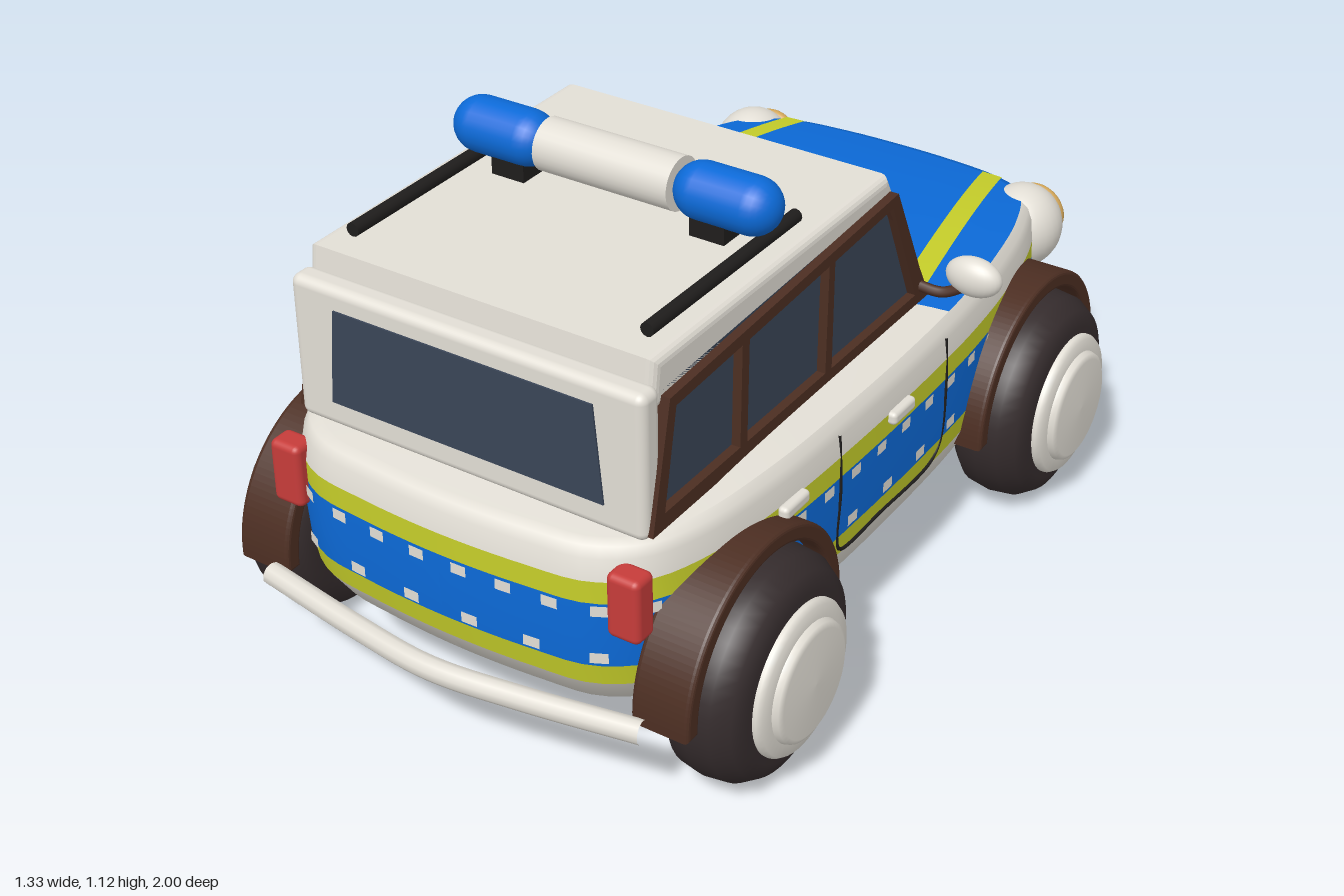
import * as THREE from 'three';
import { mergeGeometries } from 'three/addons/utils/BufferGeometryUtils.js';
import { RoundedBoxGeometry } from 'three/addons/geometries/RoundedBoxGeometry.js';

const mat = (name, color, side = THREE.FrontSide) => {
  const m = new THREE.MeshStandardMaterial({ color, side });
  m.name = name;
  return m;
};

export function createModel() {
  const white = mat('white paint', 0xe2ded5), blue = mat('blue paint', 0x0c6ad8);
  const yellow = mat('yellow paint', 0xc6ce2a), brown = mat('brown trim', 0x4c2e22);
  const glass = mat('dark glass', 0x3a4557), rubber = mat('tyre rubber', 0x352c2d);
  const black = mat('black plastic', 0x1f1d1c), red = mat('red lamp', 0xc63c3a);
  const gold = mat('amber lamp', 0xd0a458);

  const car = new THREE.Group();
  car.name = 'patrolCar';
  const add = (name, geo, material, x = 0, y = 0, z = 0) => {
    const m = new THREE.Mesh(geo, material);
    m.name = name;
    m.position.set(x, y, z);
    car.add(m);
    return m;
  };
  const v = (x, y, z) => new THREE.Vector3(x, y, z);
  const tube = (pts, r, seg = 32) => new THREE.TubeGeometry(new THREE.CatmullRomCurve3(pts), seg, r, 10);
  const ball = (rx, ry, rz) => new THREE.SphereGeometry(1, 28, 20).scale(rx, ry, rz);
  const poly = (pts) => new THREE.Shape(pts.map(([a, b]) => new THREE.Vector2(a, b)));
  // Side profile given as (z, y), extruded across x
  const sidePoly = (pts) => poly(pts.map(([z, y]) => [-z, y]));
  const sideExtrude = (shape, x0, x1, bevel = 0) => new THREE.ExtrudeGeometry(shape, {
    depth: x1 - x0 - 2 * bevel, bevelEnabled: bevel > 0, bevelSize: bevel, bevelThickness: bevel, bevelSegments: 4,
  }).rotateY(Math.PI / 2).translate(x0 + bevel, 0, 0);

  // Body: plan outline scaled level by level
  const half = [[0.2, 0.915], [0.33, 0.895], [0.42, 0.83], [0.47, 0.72], [0.505, 0.5], [0.518, 0.2], [0.518, -0.1],
    [0.51, -0.3], [0.488, -0.5], [0.445, -0.7], [0.385, -0.83], [0.29, -0.88], [0.15, -0.9]];
  const outline = new THREE.CatmullRomCurve3([v(0, 0, 0.925), ...half.map(([x, z]) => v(x, 0, z)), v(0, 0, -0.905),
    ...half.slice().reverse().map(([x, z]) => v(-x, 0, z))], true);
  outline.arcLengthDivisions = 800;
  const N = 144, ring = outline.getSpacedPoints(N).slice(0, N);
  const dome = (x, z) => 0.64 - 0.03 * (x / 0.5) ** 4 - 0.045 * (z / 0.9) ** 4;
  const loft = (rows, c0 = 0, c1 = N) => {
    const pos = [], idx = [], w = c1 - c0 + 1;
    rows.forEach(([s, y], r) => {
      for (let c = c0; c <= c1; c++) {
        const p = ring[c % N], x = p.x * s, z = p.z * s;
        pos.push(x, y ?? dome(x, z), z);
        if (r && c < c1) {
          const b = r * w + c - c0, a = b - w;
          idx.push(a, a + 1, b, a + 1, b + 1, b);
        }
      }
    });
    const g = new THREE.BufferGeometry();
    g.setAttribute('position', new THREE.Float32BufferAttribute(pos, 3));
    g.setIndex(idx);
    g.computeVertexNormals();
    return g;
  };
  const columns = (limit) => {
    const c = ring.findIndex((p) => p.z < limit);
    return [c, N - c];
  };
  const [h0, h1] = columns(-0.2), [n0, n1] = columns(-0.85);
  add('floor', loft([[0, 0.18], [0.8, 0.18], [0.86, 0.2]]), black);
  add('sill', loft([[0.86, 0.2], [0.94, 0.215], [0.985, 0.28]]), white);
  add('lowerStripe', loft([[0.985, 0.28], [0.995, 0.33]]), yellow);
  add('blueBand', loft([[0.995, 0.33], [1, 0.4], [1, 0.48]]), blue);
  add('upperStripe', loft([[1, 0.48], [1, 0.53]]), yellow);
  const shoulder = [[1, 0.53], [0.99, 0.575], [0.975, 0.595], [0.95]];
  add('shoulder', loft(shoulder, n1, n0 + N), white);
  add('nose', loft(shoulder, n0, n1), blue);
  const top = [0.95, 0.88, 0.8, 0.65, 0.45, 0.2, 0].map((s) => [s]);
  add('hood', loft(top, h0, h1), blue);
  add('rearDeck', loft(top, h1, h0 + N), white);

  // Checker squares wrapped along the blue band
  const checks = [];
  const check = (u, y, w) => {
    const a = outline.getPointAt(u - w), b = outline.getPointAt(u + w), k = 1.006;
    const g = new THREE.PlaneGeometry(1, 1), p = g.attributes.position;
    [a, b, a, b].forEach((q, i) => p.setXYZ(i, q.x * k, y + (i < 2 ? 0.012 : -0.012), q.z * k));
    g.computeVertexNormals();
    checks.push(g);
  };
  for (let i = 0; i < 50; i++) check((i + 0.5) / 50, 0.466, 0.0034);
  for (let i = 0; i < 36; i++) check((i + 0.5) / 36, 0.356, 0.0036);
  add('checkerSquares', mergeGeometries(checks), white);

  // Cabin: glass core, roof, rear panel, windscreen frame
  add('cabinGlass', sideExtrude(sidePoly([[0.79, 0.6], [0.75, 0.9], [-0.06, 0.93], [-0.215, 0.6]].reverse()), -0.405, 0.405), glass);
  add('roof', sideExtrude(sidePoly([[0.765, 0.88], [0.755, 0.95], [-0.07, 0.953], [-0.085, 0.93]].reverse()), -0.405, 0.405, 0.02), white);
  add('rearPanel', new RoundedBoxGeometry(0.83, 0.32, 0.06, 4, 0.02), white, 0, 0.762, 0.797);
  add('rearWindow', new THREE.ExtrudeGeometry(poly([[-0.325, 0.662], [0.325, 0.662], [0.305, 0.875], [-0.305, 0.875]]),
    { depth: 0.006, bevelEnabled: false }), glass, 0, 0, 0.825);
  const screen = poly([[-0.425, 0], [0.425, 0], [0.415, 0.353], [-0.415, 0.353]]);
  screen.holes.push(poly([[-0.39, 0.035], [-0.375, 0.322], [0.375, 0.322], [0.39, 0.035]]));
  add('windscreenFrame', new THREE.ExtrudeGeometry(screen, { depth: 0.03, bevelEnabled: false })
    .rotateX(Math.atan2(0.16, 0.315)), brown, 0, 0.617, -0.245);

  // Light bar
  const capsule = (len) => new THREE.CapsuleGeometry(0.06, len - 0.12, 8, 24).rotateZ(Math.PI / 2);
  add('lightBarCentre', new THREE.CylinderGeometry(0.057, 0.057, 0.32, 28).rotateZ(Math.PI / 2), white, 0, 1.058, 0.315);

  // Rear bumper, front bumper, bull bar
  add('rearBumper', tube([v(-0.46, 0.24, 0.91), v(-0.2, 0.235, 0.95), v(0, 0.235, 0.972), v(0.2, 0.235, 0.95), v(0.46, 0.24, 0.91)], 0.025), white);
  add('frontBumper', new RoundedBoxGeometry(1.01, 0.1, 0.1, 4, 0.04), white, 0, 0.25, -0.88);
  add('bumperInsert', new RoundedBoxGeometry(0.52, 0.08, 0.04, 3, 0.012), rubber, 0, 0.265, -0.925);
  add('bullBar', tube([v(-0.33, 0.215, -0.945), v(-0.3, 0.31, -0.965), v(-0.26, 0.335, -0.973), v(0, 0.335, -0.975),
    v(0.26, 0.335, -0.973), v(0.3, 0.31, -0.965), v(0.33, 0.215, -0.945)], 0.025, 60), brown);

  // Grille
  const oval = (rx, ry) => new THREE.CylinderGeometry(1, 1, 0.02, 40).rotateX(Math.PI / 2).scale(rx, ry, 1);
  add('grilleFrame', new THREE.TorusGeometry(1, 0.09, 10, 48).scale(0.235, 0.08, 0.2), white, 0, 0.455, -0.907);
  add('grilleBack', oval(0.23, 0.075), black, 0, 0.455, -0.905);
  for (let i = -2; i <= 2; i++) {
    const w = 0.43 * Math.sqrt(1 - (i * 0.026 / 0.075) ** 2);
    add('grilleSlat', new THREE.BoxGeometry(w, 0.009, 0.02), white, 0, 0.455 + i * 0.024, -0.917);
  }

  // Wheel profiles, spun around the axle
  const lathe = (pts) => new THREE.LatheGeometry(pts.map(([r, h]) => new THREE.Vector2(r, h)), 48);
  const tyre = [[0, -0.085], [0.17, -0.088], [0.21, -0.08], [0.236, -0.055], [0.244, -0.01], [0.238, 0.04], [0.215, 0.076], [0.18, 0.092], [0, 0.092]];
  const hub = [[0.165, 0.07], [0.165, 0.1], [0.158, 0.111], [0.13, 0.114], [0.13, 0.114], [0.126, 0.126], [0.115, 0.132], [0, 0.136]];
  const arch = new THREE.Shape();
  arch.absarc(0, 0, 0.275, -0.02, Math.PI + 0.02, false);
  arch.absarc(0, 0, 0.252, Math.PI + 0.02, -0.02, true);

  // Side window frame
  const frame = sidePoly([[0.815, 0.615], [0.755, 0.89], [-0.085, 0.935], [-0.24, 0.615]].reverse());
  [[[0.775, 0.65], [0.735, 0.865], [0.51, 0.877], [0.515, 0.65]], [[0.49, 0.65], [0.485, 0.878], [0.19, 0.895], [0.195, 0.65]],
    [[0.17, 0.65], [0.168, 0.896], [-0.065, 0.91], [-0.18, 0.65]]].forEach((w) => frame.holes.push(sidePoly(w)));

  const sideX = (z) => ring.slice(0, N / 2).reduce((a, p) => (Math.abs(p.z - z) < Math.abs(a.z - z) ? p : a)).x;
  for (const s of [1, -1]) {
    const side = s > 0 ? 'left' : 'right';
    add(side + 'WindowFrame', sideExtrude(frame, s > 0 ? 0.395 : -0.425, s > 0 ? 0.425 : -0.395), brown);
    for (const z of [0.615, -0.56]) {
      add(side + 'Tyre', lathe(tyre).rotateZ(-s * Math.PI / 2), rubber, s * 0.53, 0.245, z);
      add(side + 'Hubcap', lathe(hub).rotateZ(-s * Math.PI / 2), white, s * 0.53, 0.245, z);
      add(side + 'WheelArch', new THREE.ExtrudeGeometry(arch, {
        depth: 0.11, bevelSize: 0.008, bevelThickness: 0.01, bevelSegments: 3, curveSegments: 32,
      }).rotateY(Math.PI / 2), brown, s * 0.49 - 0.055, 0.255, z);
    }
    // Door seam and handles
    const seam = [[0.28, 0.58], [0.28, 0.45], [0.28, 0.32], [0.265, 0.292], [0.1, 0.29], [-0.12, 0.29], [-0.16, 0.32], [-0.165, 0.45], [-0.165, 0.58]];
    add(side + 'DoorSeam', tube(seam.map(([z, y]) => v(s * sideX(z) * (y < 0.4 ? 0.99 : y > 0.55 ? 0.988 : 1), y, z)), 0.004, 80), black);
    for (const z of [0.46, 0.05]) add(side + 'DoorHandle', new RoundedBoxGeometry(0.025, 0.03, 0.09, 3, 0.01), white, s * (sideX(z) + 0.005), 0.52, z);

    // Hood stripe draped over the hood
    const stripe = new THREE.PlaneGeometry(0.05, 1, 2, 16), p = stripe.attributes.position;
    for (let i = 0; i < p.count; i++) {
      const t = p.getY(i) + 0.5, z = -0.2 - 0.64 * t, x = s * (0.395 - 0.125 * t) + p.getX(i);
      p.setXYZ(i, x, dome(x, z) + 0.005, z);
    }
    stripe.computeVertexNormals();
    add(side + 'HoodStripe', stripe, yellow);

    // Lamps
    add(side + 'HeadlampPod', ball(0.095, 0.1, 0.1), white, s * 0.37, 0.52, -0.805);
    add(side + 'HeadlampLens', ball(0.072, 0.072, 0.03), gold, s * 0.365, 0.515, -0.892);
    add(side + 'Indicator', ball(0.027, 0.027, 0.025), gold, s * 0.32, 0.385, -0.882);
    add(side + 'TailLamp', new RoundedBoxGeometry(0.075, 0.145, 0.06, 3, 0.015), red, s * 0.408, 0.495, 0.868);

    // Mirror, roof rail, beacon
    add(side + 'Mirror', ball(0.065, 0.045, 0.035), white, s * 0.533, 0.702, -0.235);
    add(side + 'MirrorArm', tube([v(s * 0.41, 0.665, -0.2), v(s * 0.47, 0.655, -0.215), v(s * 0.53, 0.685, -0.23)], 0.012), brown);
    add(side + 'RoofRail', new THREE.CylinderGeometry(0.015, 0.015, 0.52, 12).rotateX(Math.PI / 2), black, s * 0.345, 0.986, 0.45);
    add(side + 'BeaconFoot', new THREE.BoxGeometry(0.08, 0.05, 0.07), black, s * 0.24, 0.99, 0.315);
    add(side + 'Beacon', capsule(0.235), blue, s * 0.268, 1.058, 0.315);
  }
  return car;
}
